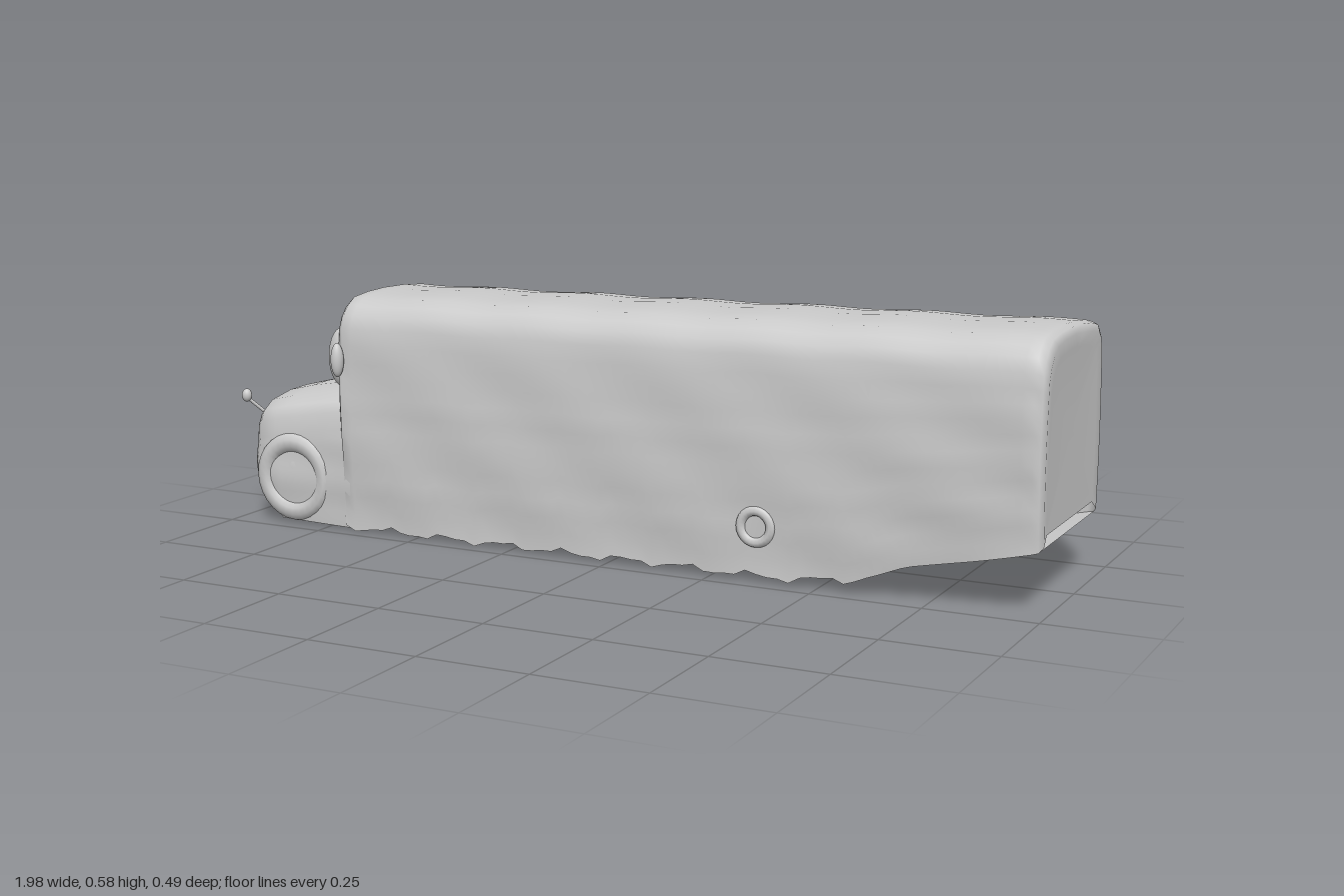
import * as THREE from 'three';

const material = new THREE.MeshStandardMaterial({ color: 0xcccccc, side: THREE.DoubleSide });
const lerp = THREE.MathUtils.lerp;

// Piecewise-linear lookup in [x, value] pairs
function track(keys, x) {
  for (let i = 1; i < keys.length; i++) {
    const [a, va] = keys[i - 1], [b, vb] = keys[i];
    if (x <= b) return lerp(va, vb, THREE.MathUtils.clamp((x - a) / (b - a), 0, 1));
  }
  return keys[keys.length - 1][1];
}

// Roof outlines from the +z shoulder to the -z shoulder: [z, drop below the crown]
const busRoof = [[0.212, 0.075], [0.2, 0.045], [0.182, 0.024], [0.155, 0.008], [0.1, 0.002], [0.03, 0],
  [-0.06, 0.003], [-0.14, 0.011], [-0.19, 0.021], [-0.206, 0.035], [-0.215, 0.07]];
const hoodRoof = [[0.205, 0.1], [0.2, 0.06], [0.185, 0.035], [0.15, 0.015], [0.07, 0.002], [0, 0],
  [-0.07, 0.002], [-0.15, 0.015], [-0.19, 0.035], [-0.207, 0.06], [-0.212, 0.1]];

// Inverted U across the vehicle with gently dented walls
function section({ x, top, bot, scale = 1, inset = 0, dent = 0.003 }, roof) {
  const n = 12, pts = [];
  const wall = (side, i) => {
    const [z, drop] = side > 0 ? roof[0] : roof[roof.length - 1];
    const y = lerp(bot, top - inset - drop, i / n);
    const bulge = 0.007 * Math.sin(Math.PI * i / n);
    const ripple = dent * (Math.sin(y * 62 + side) + Math.sin(x * 17 + y * 21 + side * 2)) * 0.6;
    pts.push([x, y, z * scale + side * (bulge + ripple - inset)]);
  };
  for (let i = 0; i < n; i++) wall(1, i);
  for (const [z, drop] of roof) pts.push([x, top - inset - drop, z * scale - Math.sign(z) * inset]);
  for (let i = n - 1; i >= 0; i--) wall(-1, i);
  return pts;
}

// Skin over a list of sections; optional centre points close the ends
function loft(name, rows, startCap, endCap) {
  const pos = rows.flat(2), index = [], w = rows[0].length;
  for (let r = 0; r < rows.length - 1; r++) {
    for (let i = 0; i < w - 1; i++) {
      const a = r * w + i, b = a + w;
      index.push(a, a + 1, b, b, a + 1, b + 1);
    }
  }
  const fan = (row, centre, flip) => {
    const c = pos.length / 3;
    pos.push(...centre);
    for (let i = 0; i < w; i++) {
      const a = row * w + i, b = row * w + (i + 1) % w;
      index.push(c, flip ? b : a, flip ? a : b);
    }
  };
  if (startCap) fan(0, startCap, true);
  if (endCap) fan(rows.length - 1, endCap, false);
  const geo = new THREE.BufferGeometry();
  geo.setAttribute('position', new THREE.Float32BufferAttribute(pos, 3));
  geo.setIndex(index);
  geo.computeVertexNormals();
  return part(name, geo);
}

function part(name, geo) {
  const mesh = new THREE.Mesh(geo, material);
  mesh.name = name;
  return mesh;
}

// Rounded lump, squashed to the given half sizes
function lump(name, at, size) {
  const mesh = part(name, new THREE.SphereGeometry(1, 20, 14));
  mesh.position.set(...at);
  mesh.scale.set(...size);
  return mesh;
}

export function createModel() {
  const bus = new THREE.Group();
  bus.name = 'bus';

  // Passenger body: hollow shell with a ragged lower edge and a rising tail
  const crown = x => lerp(0.558, 0.578, (x + 0.7) / 1.7);
  const lower = [[-0.72, 0.01], [0.45, 0.018], [0.6, 0.035], [0.7, 0.075], [0.85, 0.105], [0.98, 0.135]];
  const bodyRows = [
    section({ x: -0.685, top: crown(-0.7), bot: 0.3, inset: 0.045, dent: 0 }, busRoof),
    section({ x: -0.7, top: crown(-0.7), bot: 0.3, inset: 0.022, dent: 0 }, busRoof),
    section({ x: -0.708, top: crown(-0.7), bot: 0.3, inset: 0.008 }, busRoof),
  ];
  for (let i = 0; i <= 66; i++) {
    const x = lerp(-0.695, 0.965, i / 66);
    const ragged = x < 0.62 ? 0.006 * Math.sin(x * 41) + 0.004 * Math.sin(x * 97) : 0;
    bodyRows.push(section({ x, top: crown(x) + 0.002 * Math.sin(x * 23), bot: track(lower, x) + ragged }, busRoof));
  }
  bodyRows.push(
    section({ x: 0.98, top: 0.577, bot: 0.135, inset: 0.005, dent: 0 }, busRoof),
    section({ x: 0.988, top: 0.575, bot: 0.145, inset: 0.018, dent: 0 }, busRoof),
    section({ x: 0.985, top: 0.575, bot: 0.165, inset: 0.045, dent: 0 }, busRoof));
  bus.add(loft('body', bodyRows, [-0.68, 0.42, 0], [0.982, 0.36, 0]));

  // Closed underside beneath the tail
  const under = [];
  for (const x of [0.62, 0.66, 0.7, 0.78, 0.85, 0.92, 0.98]) {
    const y = track(lower, x), row = [];
    for (let i = 0; i <= 10; i++) {
      const z = lerp(0.21, -0.218, i / 10);
      row.push([x, y + 0.02 * Math.sin(Math.PI * i / 10) * (0.98 - x) / 0.36, z]);
    }
    under.push(row);
  }
  bus.add(loft('tailUnderside', under));

  // Hood with a rounded nose
  const hoodTop = [[-0.97, 0.283], [-0.95, 0.298], [-0.88, 0.315], [-0.76, 0.335], [-0.68, 0.345]];
  const hoodBot = [[-0.97, 0.1], [-0.95, 0.075], [-0.92, 0.06], [-0.88, 0.012], [-0.68, 0.008]];
  const hoodWidth = [[-0.97, 0.86], [-0.95, 0.94], [-0.91, 1], [-0.68, 1.02]];
  const hoodRows = [-0.97, -0.96, -0.95, -0.92, -0.9, -0.88, -0.84, -0.8, -0.76, -0.72, -0.68].map(x =>
    section({ x, top: track(hoodTop, x), bot: track(hoodBot, x), scale: track(hoodWidth, x), dent: 0.002 }, hoodRoof));
  bus.add(loft('hood', hoodRows, [-0.972, 0.19, 0]));

  // Rough floor beneath the hood
  const floor = [-0.97, -0.95, -0.92, -0.88, -0.82, -0.75, -0.7].map(x => {
    const y = track(hoodBot, x), half = 0.208 * track(hoodWidth, x);
    return Array.from({ length: 9 }, (_, i) =>
      [x, y + 0.01 * (1 - Math.cos(i * Math.PI / 4 * 2)) / 2, lerp(half, -half, i / 8)]);
  });
  bus.add(loft('hoodUnderside', floor));

  // Wheels bulging out of the walls, fenders and mirrors on both sides
  for (const side of [1, -1]) {
    const z = side > 0 ? 0.2 : -0.21;
    const tire = part('frontWheel', new THREE.TorusGeometry(0.083, 0.026, 10, 28));
    tire.position.set(-0.845, 0.115, z * 0.97);
    bus.add(tire);
    bus.add(lump('frontHub', [-0.845, 0.115, z], [0.06, 0.06, 0.014]));
    const rear = part('rearWheel', new THREE.TorusGeometry(0.035, 0.012, 8, 24));
    rear.position.set(0.36, 0.125, z + side * 0.012);
    bus.add(rear);
    bus.add(lump('headlight', [-0.955, 0.22, z * 0.72], [0.022, 0.03, 0.035]));
    bus.add(lump('windshieldPillar', [-0.715, 0.41, z * 0.9], [0.035, 0.07, 0.028]));
    bus.add(lump('sideMirror', [-0.7, 0.41, z + side * 0.025], [0.015, 0.04, 0.016]));
  }

  // Small mirror at the nose corner
  bus.add(lump('noseMirror', [-0.985, 0.3, 0.195], [0.012, 0.016, 0.012]));
  const stalk = new THREE.LineCurve3(new THREE.Vector3(-0.985, 0.295, 0.195), new THREE.Vector3(-0.955, 0.26, 0.17));
  bus.add(part('noseMirrorStalk', new THREE.TubeGeometry(stalk, 2, 0.004, 6)));

  return bus;
}
